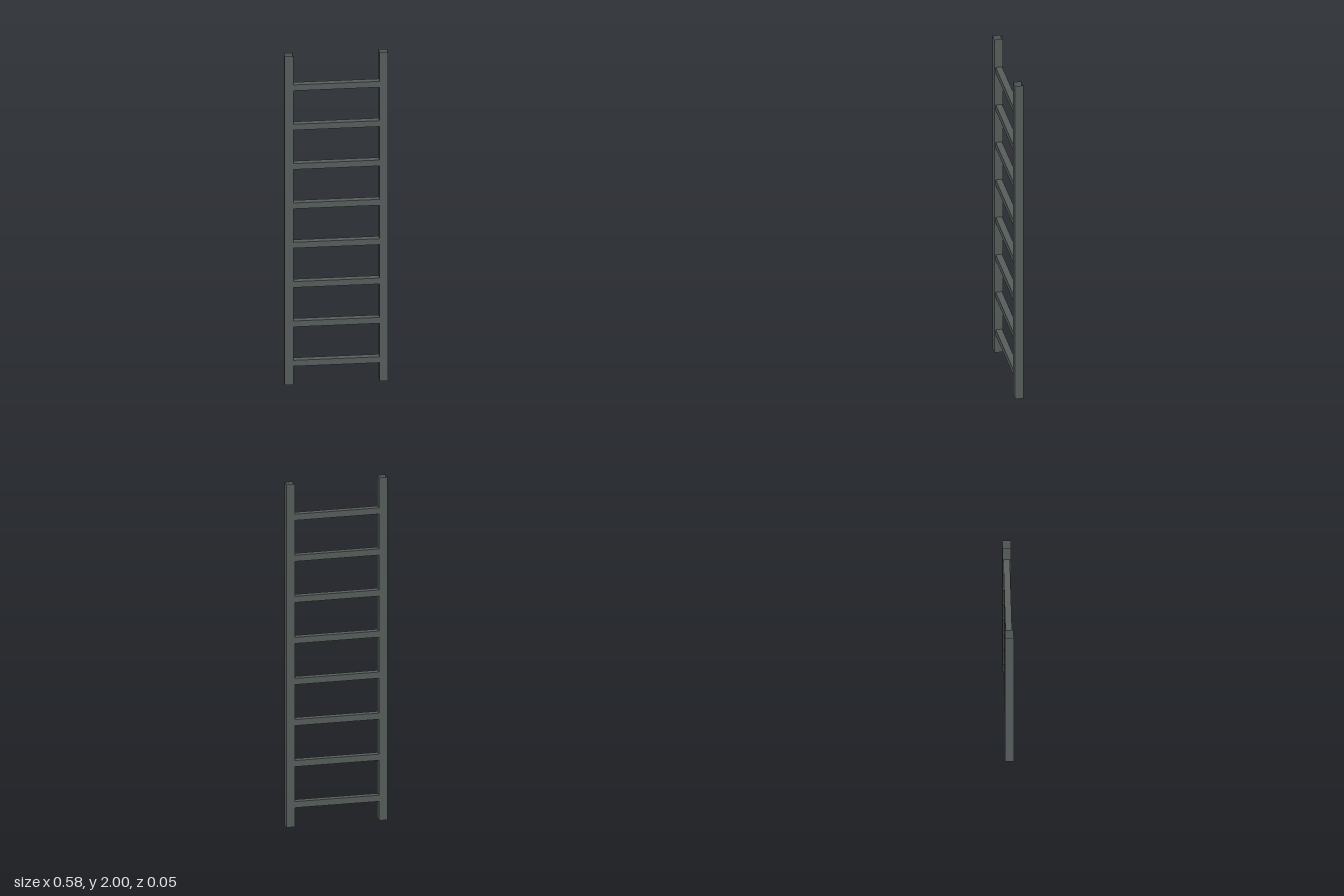
import * as THREE from 'three';

const HEIGHT = 2;
const RAIL_X = 0.264;      // centre line of each rail
const RAIL_SIZE = 0.048;   // width of the square tube
const RUNG_COUNT = 8;

// Square tube, open at both ends, with hard edges
function squareTube(size, height) {
  const radius = size / Math.SQRT2;
  const geometry = new THREE.CylinderGeometry(radius, radius, height, 4, 1, true)
    .rotateY(Math.PI / 4)
    .toNonIndexed();
  geometry.computeVertexNormals();
  return geometry;
}

export function createModel() {
  const ladder = new THREE.Group();
  ladder.name = 'ladder';

  const steel = new THREE.MeshStandardMaterial({ color: 0x555d5b, side: THREE.DoubleSide });
  steel.name = 'dark grey steel';

  // Two upright hollow rails
  const railGeometry = squareTube(RAIL_SIZE, HEIGHT);
  for (const [name, side] of [['leftRail', 1], ['rightRail', -1]]) {
    const rail = new THREE.Mesh(railGeometry, steel);
    rail.name = name;
    rail.position.set(side * RAIL_X, HEIGHT / 2, 0);
    ladder.add(rail);
  }

  // Evenly spaced square rungs, set slightly into the left rail
  const rungGeometry = new THREE.BoxGeometry(0.497, 0.036, 0.036);
  for (let i = 0; i < RUNG_COUNT; i++) {
    const rung = new THREE.Mesh(rungGeometry, steel);
    rung.name = `rung${i + 1}`;
    rung.position.set(0.0065, 0.128 + i * 0.2395, -0.001);
    ladder.add(rung);
  }

  return ladder;
}
